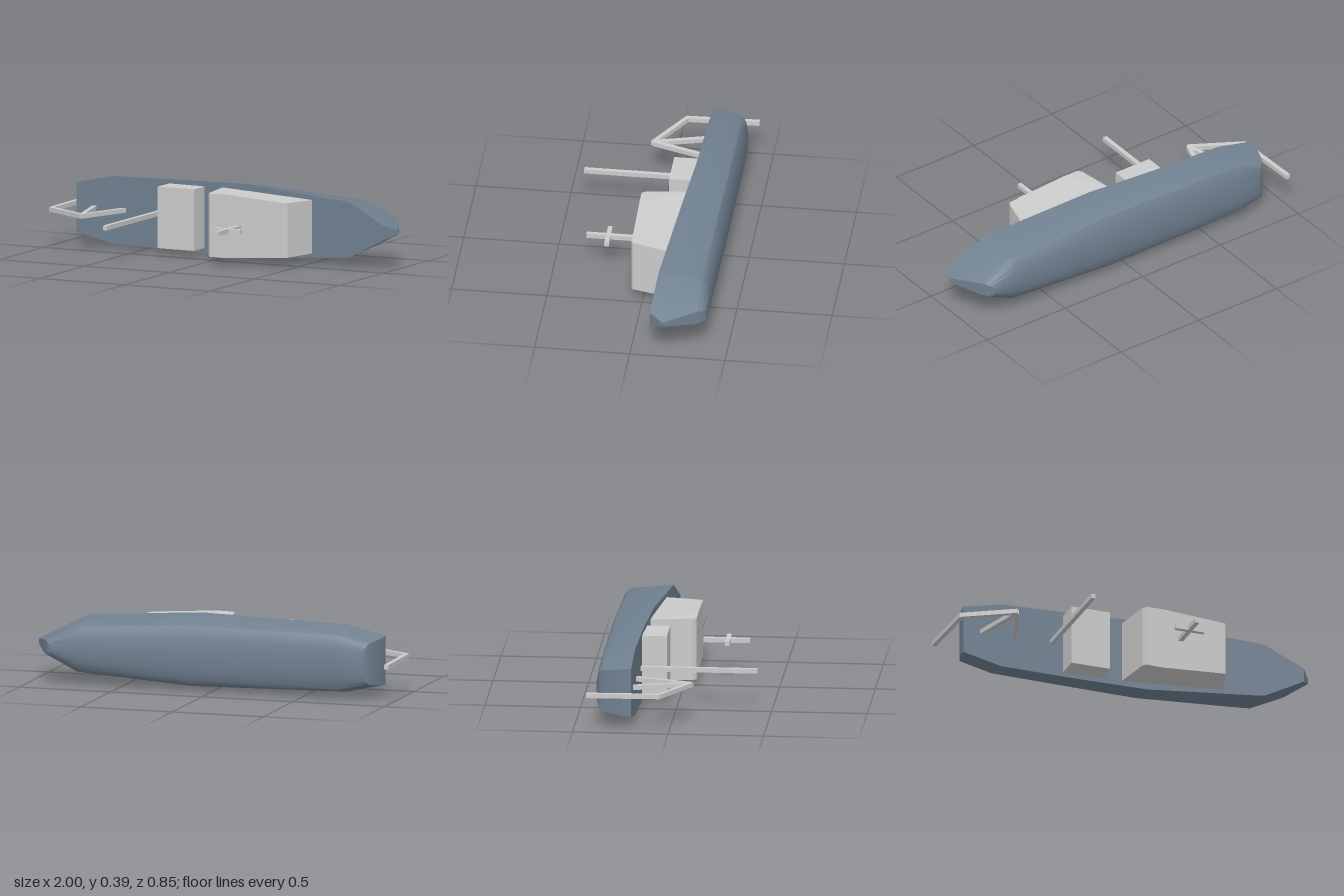
import * as THREE from 'three';
import { toCreasedNormals } from 'three/addons/utils/BufferGeometryUtils.js';

const MID = 0.197; // height of the symmetry plane (the boat lies on its side, deck facing +z)
const KEEL = -0.39;
const grey = new THREE.MeshStandardMaterial({ color: 0xcccccc, flatShading: true });
const hullPaint = new THREE.MeshStandardMaterial({ color: 0x708090 });

function add(group, name, geometry, material = grey) {
  const mesh = new THREE.Mesh(geometry, material);
  mesh.name = name;
  group.add(mesh);
  return mesh;
}

// Square bar between two points of the symmetry plane
function bar(group, name, [x1, z1], [x2, z2], t = 0.024) {
  const length = Math.hypot(x2 - x1, z2 - z1);
  const mesh = add(group, name, new THREE.BoxGeometry(length, t, t));
  mesh.position.set((x1 + x2) / 2, MID + 0.002, (z1 + z2) / 2);
  mesh.rotation.y = -Math.atan2(z2 - z1, x2 - x1);
}

// Hull lofted from stern to bow; each ring runs from one deck edge round the keel to the other
function hullGeometry() {
  const depth = [0, 0.24, 0.78, 0.86, 0.92, 0.97, 0.995, 1];
  const width = [1, 0.957, 0.86, 0.8, 0.67, 0.46, 0.2, 0];
  const sternX = [-0.91, -0.91, -0.876, -0.866, -0.855, -0.835, -0.822, -0.82];
  const bowX = [0.95, 1, 0.92, 0.905, 0.895, 0.88, 0.865, 0.86];
  const bowW = [0.037, 0.012, 0.035, 0.036, 0.033, 0.026, 0.013, 0];
  const even = (x, z, w) => ({ x: depth.map(() => x), z, w: width.map(f => f * w) });
  const stations = [
    { x: sternX, z: -0.2, w: width.map(f => f * 0.13) },
    even(-0.7, -0.198, 0.178),
    even(-0.3, -0.188, 0.186),
    even(0.1, -0.165, 0.194),
    even(0.7, -0.12, 0.15),
    even(0.74, -0.117, 0.145),
    { x: bowX, z: -0.1, w: bowW },
  ];
  const L = depth.length, n = 2 * L - 1;
  const pos = [], idx = [];
  for (const s of stations) {
    for (let j = 0; j < n; j++) {
      const k = j < L ? j : n - 1 - j;
      pos.push(s.x[k], MID + (j < L ? 1 : -1) * s.w[k], s.z + (KEEL - s.z) * depth[k]);
    }
  }
  for (let i = 0; i < stations.length - 1; i++) {
    for (let j = 0; j < n; j++) {
      const a = i * n + j, b = i * n + (j + 1) % n, c = a + n, d = b + n;
      idx.push(a, c, b, b, c, d);
    }
  }
  // Transom and stem caps
  const end = (stations.length - 1) * n;
  for (let j = 0; j < L - 1; j++) {
    const p = j, q = j + 1, r = n - 2 - j, s = n - 1 - j;
    idx.push(p, r, s, end + p, end + s, end + r);
    if (q !== r) idx.push(p, q, r, end + p, end + r, end + q);
  }
  const g = new THREE.BufferGeometry();
  g.setAttribute('position', new THREE.Float32BufferAttribute(pos, 3));
  g.setIndex(idx);
  return toCreasedNormals(g, 0.5);
}

// Cabin: side profile extruded across the beam, then tapered towards the bow
function cabinGeometry() {
  const profile = [[-0.04, -0.19], [0.1, -0.19], [0.52, -0.17], [0.46, 0.05], [0.45, 0.061],
    [0.1, 0.064], [0.01, 0.065], [-0.005, 0.045]];
  const shape = new THREE.Shape(profile.map(([x, z]) => new THREE.Vector2(x, z)));
  const g = new THREE.ExtrudeGeometry(shape, { depth: 2, bevelEnabled: false });
  g.translate(0, 0, -1);
  g.rotateX(Math.PI / 2); // profile height becomes z
  const p = g.attributes.position;
  for (let i = 0; i < p.count; i++) {
    const x = p.getX(i);
    const half = x < 0.1 ? 0.165 + 0.003 * (x + 0.04) / 0.14 : 0.168 - 0.028 * (x - 0.1) / 0.42;
    p.setY(i, MID + Math.sign(p.getY(i)) * half);
  }
  g.computeVertexNormals();
  return g;
}

export function createModel() {
  const boat = new THREE.Group();
  boat.name = 'boat';

  add(boat, 'hull', hullGeometry(), hullPaint);
  add(boat, 'cabin', cabinGeometry());
  add(boat, 'deckHouse', new THREE.BoxGeometry(0.215, 0.324, 0.15)).position.set(-0.2525, MID, -0.135);

  // Tall mast and the cross-shaped mast above the cabin
  bar(boat, 'mainMast', [-0.42, -0.22], [-0.42, 0.42]);
  bar(boat, 'crossMast', [0.193, 0.085], [0.193, 0.33]);
  bar(boat, 'crossArm', [0.113, 0.215], [0.273, 0.215]);

  // Stern gantry: two legs, an arm reaching aft and a long hanging bar
  const gantry = new THREE.Group();
  gantry.name = 'sternGantry';
  bar(gantry, 'aftLeg', [-0.81, -0.22], [-0.725, 0.095]);
  bar(gantry, 'foreLeg', [-0.62, -0.22], [-0.725, 0.095]);
  bar(gantry, 'reachArm', [-0.72, 0.1], [-0.982, -0.053]);
  bar(gantry, 'hangingBar', [-0.978, -0.045], [-0.988, -0.428]);
  boat.add(gantry);

  return boat;
}
